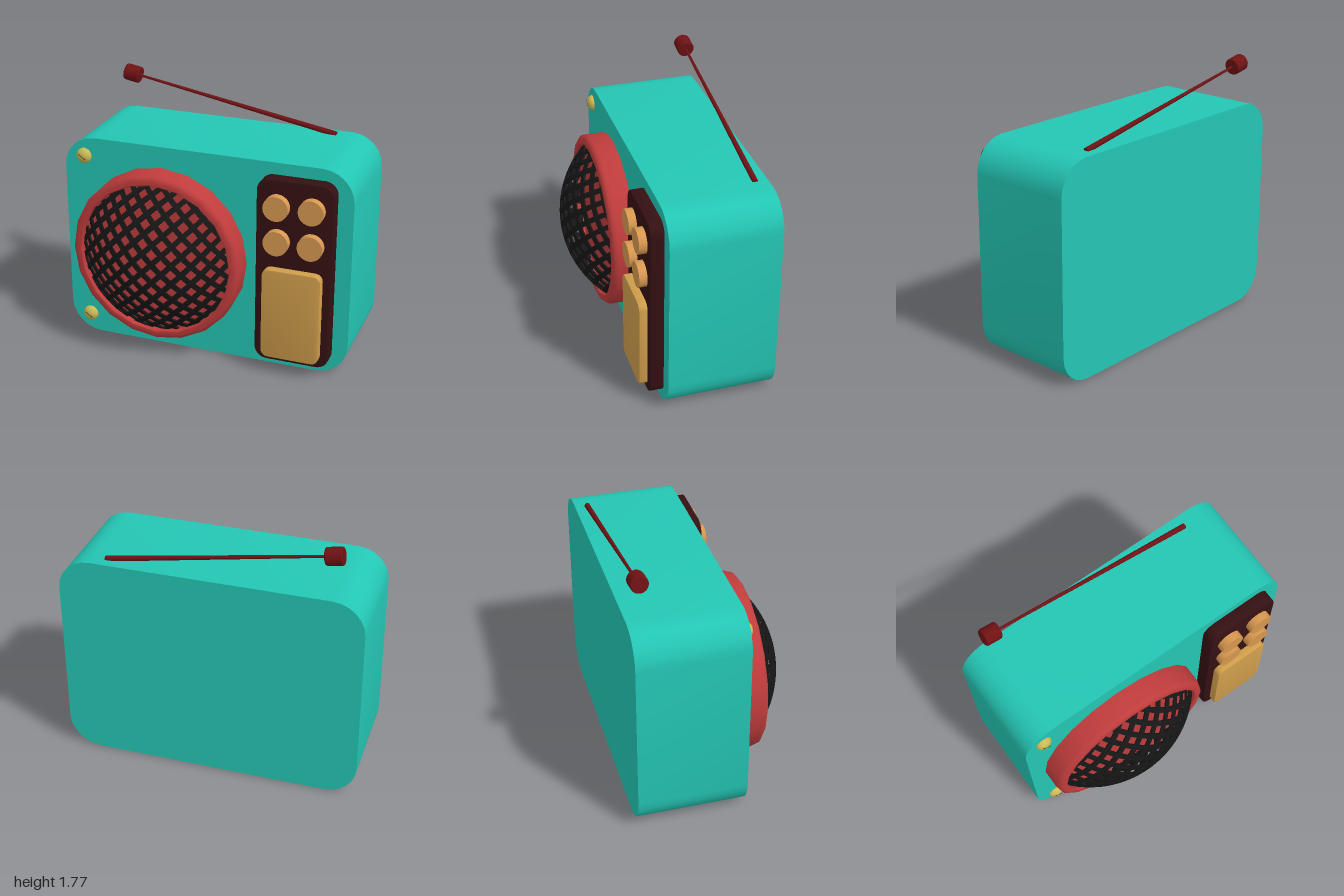
import * as THREE from 'three';
import { toCreasedNormals, mergeGeometries } from 'three/addons/utils/BufferGeometryUtils.js';

const mat = (color) => new THREE.MeshStandardMaterial({ color });
const teal = mat(0x24c6b4), red = mat(0xc03c3c), maroon = mat(0x351012), antennaRed = mat(0x701214);
const black = mat(0x161616), orange = mat(0xd89850), tan = mat(0xd09e4c), brass = mat(0xcdbb55), dark = mat(0x4a4320);

function add(parent, name, geometry, material, x = 0, y = 0, z = 0) {
  const mesh = new THREE.Mesh(geometry, material);
  mesh.name = name;
  mesh.position.set(x, y, z);
  parent.add(mesh);
  return mesh;
}

// Rounded rectangle extruded from z = 0 to z = depth, with an optional bevel on the front
function slab(w, h, r, depth, steps, bevel = 0) {
  const x = w / 2 - bevel, y = h / 2 - bevel, c = r - bevel, q = Math.PI / 2;
  const s = new THREE.Shape();
  s.absarc(x - c, y - c, c, 0, q);
  s.absarc(-x + c, y - c, c, q, 2 * q);
  s.absarc(-x + c, -y + c, c, 2 * q, 3 * q);
  s.absarc(x - c, -y + c, c, 3 * q, 4 * q);
  s.closePath();
  const g = new THREE.ExtrudeGeometry(s, {
    depth: depth - 2 * bevel, curveSegments: steps,
    bevelEnabled: bevel > 0, bevelSize: bevel, bevelThickness: bevel, bevelSegments: 2,
  });
  g.translate(0, 0, bevel);
  return toCreasedNormals(g, 0.7);
}

// One lattice bar, bent over a spherical cap whose tip is at z = 0
function bentBar(offset, halfLength, turn, R) {
  const g = new THREE.BoxGeometry(0.036, 2 * halfLength, 0.012, 1, 28, 1);
  g.translate(offset, 0, 0).rotateZ(turn);
  const p = g.attributes.position;
  for (let i = 0; i < p.count; i++) {
    const a = p.getX(i), b = p.getY(i), s = Math.hypot(a, b) || 1e-6;
    const rad = R + p.getZ(i) - 0.006, r = rad * Math.sin(s / R);
    p.setXYZ(i, (a / s) * r, (b / s) * r, rad * Math.cos(s / R) - R);
  }
  g.computeVertexNormals();
  return g;
}

function createSpeaker() {
  const speaker = new THREE.Group();
  speaker.name = 'speaker';
  speaker.position.set(-0.3, 0.705, 0);
  // Rim with a rounded outer edge and a recessed floor
  const profile = [[0.595, 0.16], [0.595, 0.295], [0.588, 0.317], [0.575, 0.33], [0.558, 0.335],
    [0.535, 0.335], [0.528, 0.328], [0.526, 0.29], [0, 0.29]].map(([r, h]) => new THREE.Vector2(r, h));
  const rim = new THREE.LatheGeometry(profile, 20);
  rim.rotateX(Math.PI / 2);
  add(speaker, 'speakerRim', toCreasedNormals(rim, 0.6), red);
  // Domed diagonal lattice
  const R = 0.7, reach = 0.593, pitch = 0.093, bars = [];
  for (const turn of [Math.PI / 4, -Math.PI / 4]) {
    for (let k = -6; k <= 6; k++) {
      const a = k * pitch;
      bars.push(bentBar(a, Math.sqrt(reach * reach - a * a), turn, R));
    }
  }
  add(speaker, 'speakerGrille', mergeGeometries(bars), black, 0, 0, 0.542);
  return speaker;
}

function createControls() {
  const controls = new THREE.Group();
  controls.name = 'controls';
  add(controls, 'controlPanel', slab(0.51, 1.29, 0.085, 0.1, 4, 0.008), maroon, 0.64, 0.72, 0.16);
  add(controls, 'screen', slab(0.395, 0.64, 0.05, 0.07, 4, 0.006), tan, 0.642, 0.442, 0.245);
  for (const [x, y] of [[0.526, 1.187], [0.758, 1.192], [0.531, 0.948], [0.758, 0.948]]) {
    const g = new THREE.CylinderGeometry(0.084, 0.084, 0.065, 24);
    g.rotateX(Math.PI / 2);
    add(controls, 'button', g, orange, x, y, 0.28);
  }
  return controls;
}

// Domed screw head with a slanted slot
function createScrew(y, turn) {
  const screw = new THREE.Group();
  screw.name = 'screw';
  screw.position.set(-0.86, y, 0.17);
  const dome = new THREE.SphereGeometry(0.054, 16, 6, 0, Math.PI * 2, 0, Math.PI / 2);
  dome.rotateX(Math.PI / 2).scale(1, 1, 0.75);
  add(screw, 'screwHead', dome, brass);
  const slot = add(screw, 'screwSlot', new THREE.BoxGeometry(0.06, 0.005, 0.004), dark, 0, 0, 0.0385);
  slot.rotation.z = turn;
  return screw;
}

function createAntenna() {
  const antenna = new THREE.Group();
  antenna.name = 'antenna';
  const base = new THREE.Vector3(0.7, 1.446, -0.466), tip = new THREE.Vector3(-0.775, 1.71, -0.472);
  const dir = tip.clone().sub(base), length = dir.length();
  antenna.position.copy(base);
  antenna.quaternion.setFromUnitVectors(new THREE.Vector3(0, 1, 0), dir.normalize());
  add(antenna, 'antennaRod', new THREE.CylinderGeometry(0.008, 0.019, length, 10), antennaRed, 0, length / 2, 0);
  const profile = [[0, -0.055], [0.052, -0.055], [0.057, -0.048], [0.057, 0.048], [0.052, 0.055], [0, 0.055]];
  const knob = new THREE.LatheGeometry(profile.map(([r, h]) => new THREE.Vector2(r, h)), 16);
  add(antenna, 'antennaKnob', toCreasedNormals(knob, 0.6), antennaRed, 0, length, 0);
  return antenna;
}

export function createModel() {
  const radio = new THREE.Group();
  radio.name = 'radio';
  add(radio, 'body', slab(2, 1.445, 0.215, 0.72, 3), teal, 0, 0.7225, -0.55);
  radio.add(createSpeaker(), createControls(), createScrew(1.315, -0.6), createScrew(0.13, -0.6), createAntenna());
  return radio;
}
